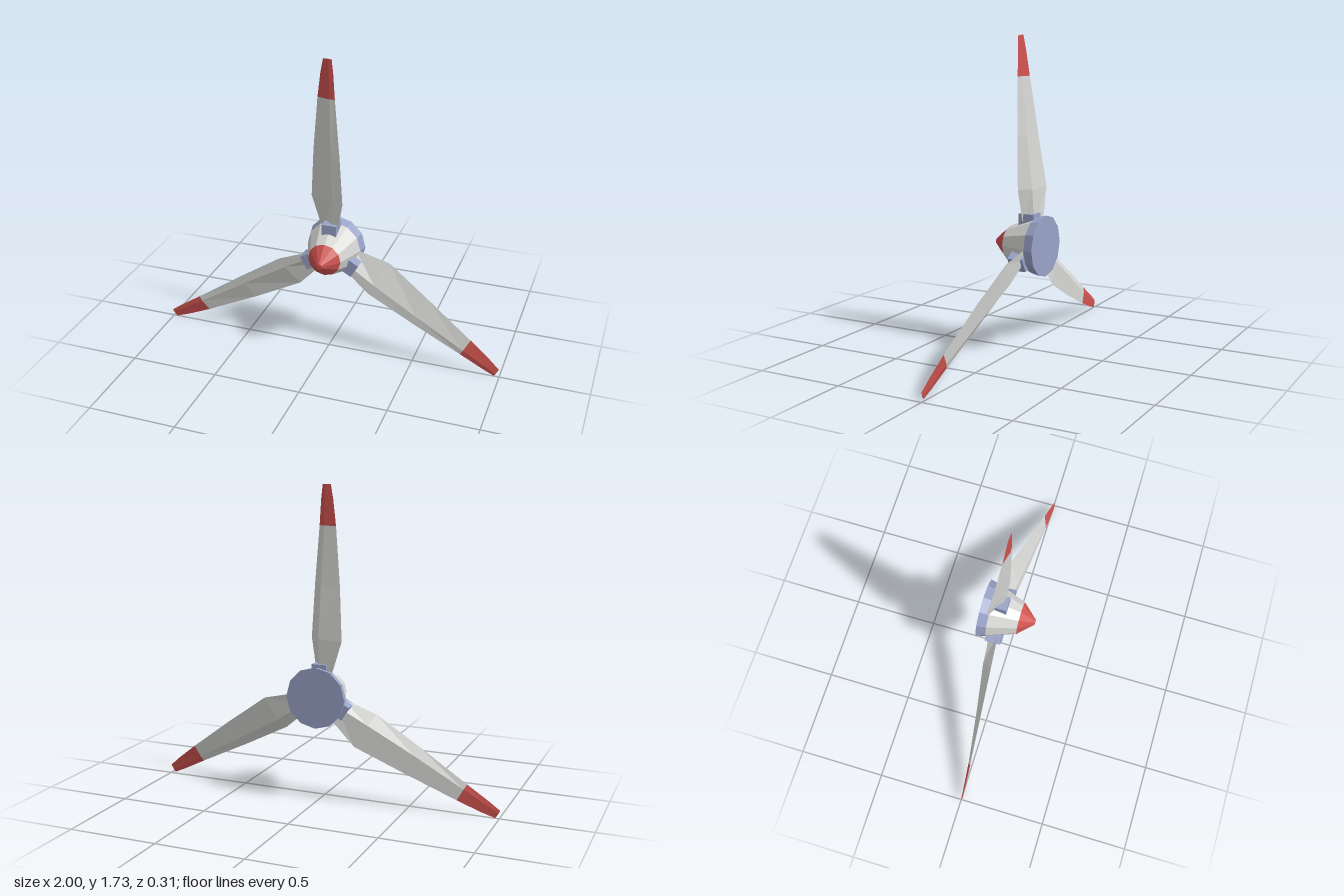
import * as THREE from 'three';

const white = new THREE.MeshStandardMaterial({ color: 0xd6d6d4 });
white.name = 'lightGrey';
const red = new THREE.MeshStandardMaterial({ color: 0xcf534f });
red.name = 'red';
const blue = new THREE.MeshStandardMaterial({ color: 0x99a3c8 });
blue.name = 'slateBlue';

// Give every face its own flat normal
function faceted(geometry) {
  const flat = geometry.index ? geometry.toNonIndexed() : geometry;
  flat.computeVertexNormals();
  return flat;
}

function part(name, geometry, material) {
  const mesh = new THREE.Mesh(faceted(geometry), material);
  mesh.name = name;
  return mesh;
}

// Ring of the hub between two z positions
function hubRing(name, zBack, rBack, zFront, rFront, material) {
  const g = new THREE.CylinderGeometry(rFront, rBack, zFront - zBack, 12);
  g.rotateX(Math.PI / 2).translate(0, 0, (zBack + zFront) / 2);
  return part(name, g, material);
}

// Blade stations along the radius:
// r, trailing x, trailing z, leading x, leading z, ridge x, front ridge z, back ridge z
const stations = [
  [0.11, -0.070, -0.100, 0.040, -0.035, 0.005, -0.038, -0.085],
  [0.31, -0.129, -0.092, 0.075, -0.022, 0.013, -0.028, -0.078],
  [0.60, -0.103, -0.054, 0.060, -0.011, 0.012, -0.014, -0.044],
  [0.92, -0.066, -0.020, 0.037, -0.001, 0.006, 0.000, -0.013],
  [1.06, -0.045, -0.008, 0.029, 0.002, 0.005, 0.004, -0.005],
  [1.14, -0.028, -0.001, 0.021, 0.004, 0.004, 0.005, 0.000],
];

// Four-cornered section: leading edge, back ridge, trailing edge, front ridge
const section = ([r, tx, tz, lx, lz, mx, front, back]) =>
  [[lx, r, lz], [mx, r, back], [tx, r, tz], [mx, r, front]];

// Loft flat faces through consecutive stations, closing both ends
function loft(list) {
  const rings = list.map(section);
  const pos = [];
  const quad = (a, b, c, d) => pos.push(...a, ...b, ...c, ...a, ...c, ...d);
  for (let s = 0; s < rings.length - 1; s++) {
    for (let i = 0; i < 4; i++) {
      const j = (i + 1) % 4;
      quad(rings[s][i], rings[s][j], rings[s + 1][j], rings[s + 1][i]);
    }
  }
  quad(...rings[rings.length - 1]);
  quad(...[...rings[0]].reverse());
  const g = new THREE.BufferGeometry();
  g.setAttribute('position', new THREE.Float32BufferAttribute(pos, 3));
  return g;
}

export function createModel() {
  const model = new THREE.Group();
  model.name = 'propeller';

  // Hub: back plate, cone body and nose
  const hub = new THREE.Group();
  hub.name = 'hub';
  hub.add(
    hubRing('backPlate', -0.155, 0.17, -0.1, 0.157, blue),
    hubRing('spinnerBody', -0.1, 0.157, 0.065, 0.095, white),
    hubRing('spinnerNose', 0.065, 0.095, 0.15, 0.015, red),
  );
  model.add(hub);

  // Three pitched blades, each with a painted tip and a root clamp
  for (let i = 0; i < 3; i++) {
    const blade = new THREE.Group();
    blade.name = `blade${i + 1}`;
    const clamp = new THREE.BoxGeometry(0.085, 0.09, 0.09).translate(0, 0.13, -0.055);
    blade.add(
      part('bladeBody', loft(stations.slice(0, 4)), white),
      part('bladeTip', loft(stations.slice(3)), red),
      part('bladeClamp', clamp, blue),
    );
    blade.rotation.z = -i * Math.PI * 2 / 3;
    model.add(blade);
  }

  model.position.set(-0.005, 0.6, 0.0025);
  return model;
}
